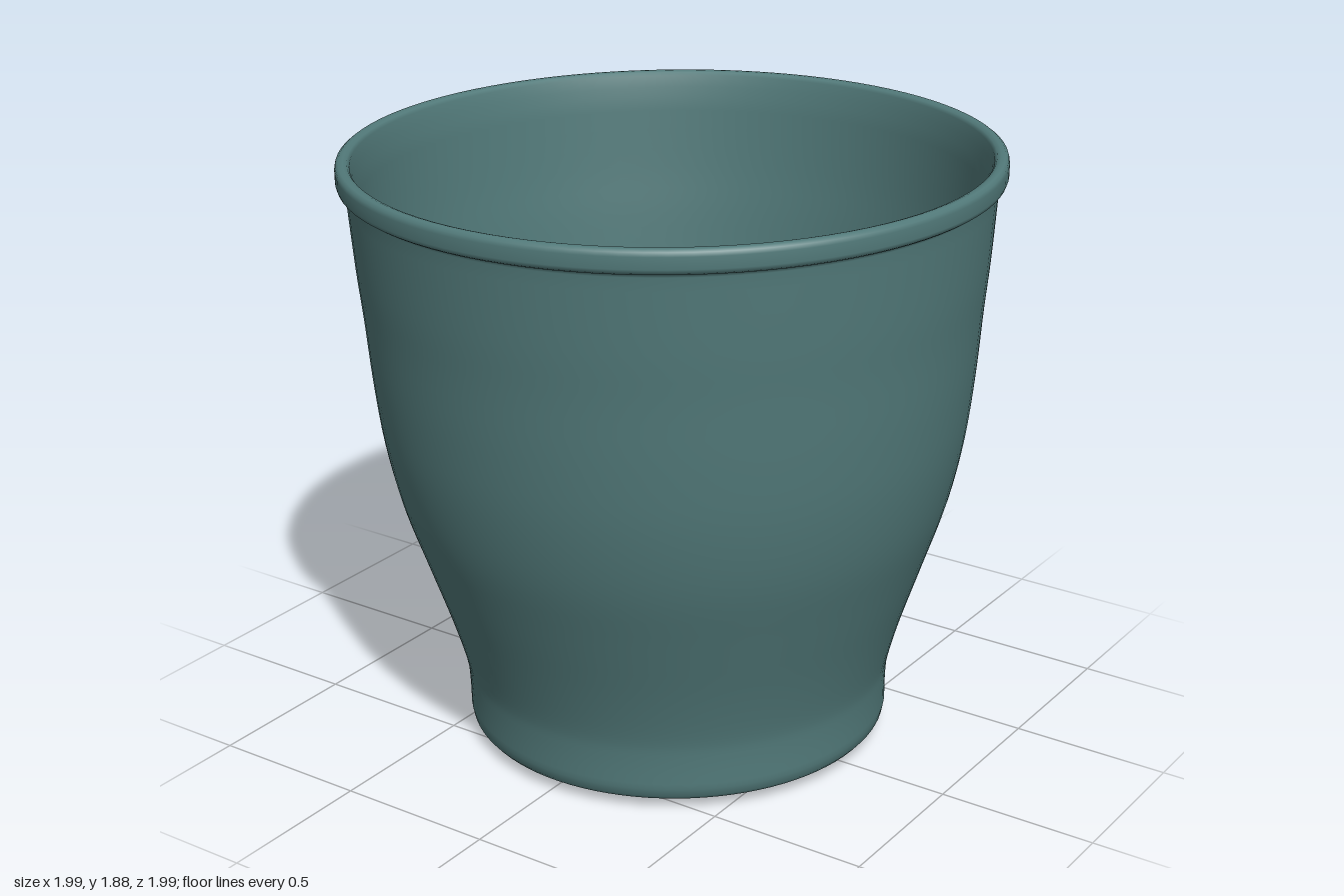
import * as THREE from 'three';

const SEGMENTS = 96;

// Spin a list of [radius, height] pairs, running anticlockwise, into a shell
function spin(name, pairs, material) {
  const points = pairs.map(([r, y]) => new THREE.Vector2(r, y));
  const mesh = new THREE.Mesh(new THREE.LatheGeometry(points, SEGMENTS), material);
  mesh.name = name;
  return mesh;
}

export function createModel() {
  const plastic = new THREE.MeshStandardMaterial({ color: 0x527a7a });
  plastic.name = 'dusty teal plastic';

  const model = new THREE.Group();
  model.name = 'plantPot';

  // The pot leans very slightly towards -x
  const pot = new THREE.Group();
  pot.name = 'pot';
  pot.position.set(0.025, 0, -0.004);
  pot.rotation.z = 0.0135;
  model.add(pot);

  // Curved side wall, smoothed through a few measured radii
  const side = new THREE.SplineCurve([
    [0.664, 0.075], [0.666, 0.17], [0.676, 0.25], [0.718, 0.4], [0.785, 0.6],
    [0.851, 0.8], [0.895, 1.0], [0.92, 1.2], [0.937, 1.4], [0.953, 1.56], [0.97, 1.785],
  ].map(([r, y]) => new THREE.Vector2(r, y))).getPoints(40).map((p) => [p.x, p.y]);
  const inside = side.filter(([, y]) => y > 0.1).reverse().map(([r, y]) => [r - 0.03, y]);

  pot.add(spin('wall', [
    [0.6, 0.03], [0.63, 0.031], [0.648, 0.037], [0.659, 0.05],
    ...side,
    // rolled lip
    [0.973, 1.795], [0.984, 1.797], [0.993, 1.803], [0.997, 1.815], [0.997, 1.85],
    [0.994, 1.862], [0.985, 1.869], [0.972, 1.87], [0.96, 1.866], [0.953, 1.856],
    [0.948, 1.82],
    ...inside,
    [0.634, 0.085], [0.628, 0.07], [0.615, 0.062], [0.6, 0.06],
  ], plastic));

  // Floor ring with three drain holes
  const ring = new THREE.Shape().absarc(0, 0, 0.605, 0, Math.PI * 2);
  ring.holes.push(new THREE.Path().absarc(0, 0, 0.5, 0, Math.PI * 2, true));
  const angleOf = (i) => THREE.MathUtils.degToRad(10.5 + i * 120);
  for (let i = 0; i < 3; i++) {
    const a = angleOf(i);
    ring.holes.push(new THREE.Path().absarc(
      Math.cos(a) * 0.553, -Math.sin(a) * 0.553, 0.04, 0, Math.PI * 2, true));
  }
  const ringGeometry = new THREE.ExtrudeGeometry(ring, {
    depth: 0.03, bevelEnabled: false, curveSegments: 48,
  });
  ringGeometry.rotateX(-Math.PI / 2).translate(0, 0.03, 0);
  const floorRing = new THREE.Mesh(ringGeometry, plastic);
  floorRing.name = 'floorRing';
  pot.add(floorRing);

  // Raised middle of the floor, hollow below, with a central drain hole
  pot.add(spin('raisedFloor', [
    [0.052, 0.148], [0.052, 0.122], [0.054, 0.12], [0.38, 0.12], [0.395, 0.118], [0.408, 0.11],
    [0.49, 0.044], [0.5, 0.035], [0.51, 0.03], [0.512, 0.06], [0.495, 0.061], [0.48, 0.068],
    [0.4, 0.137], [0.385, 0.147], [0.37, 0.15], [0.054, 0.15], [0.052, 0.148],
  ], plastic));

  // Three low rounded feet between the drain holes
  for (let i = 0; i < 3; i++) {
    const a = angleOf(i) + Math.PI;
    const foot = new THREE.Mesh(new THREE.SphereGeometry(0.055, 20, 12), plastic);
    foot.name = 'foot' + (i + 1);
    foot.scale.y = 0.45;
    foot.position.set(Math.cos(a) * 0.56, 0.034, Math.sin(a) * 0.56);
    pot.add(foot);
  }

  return model;
}
